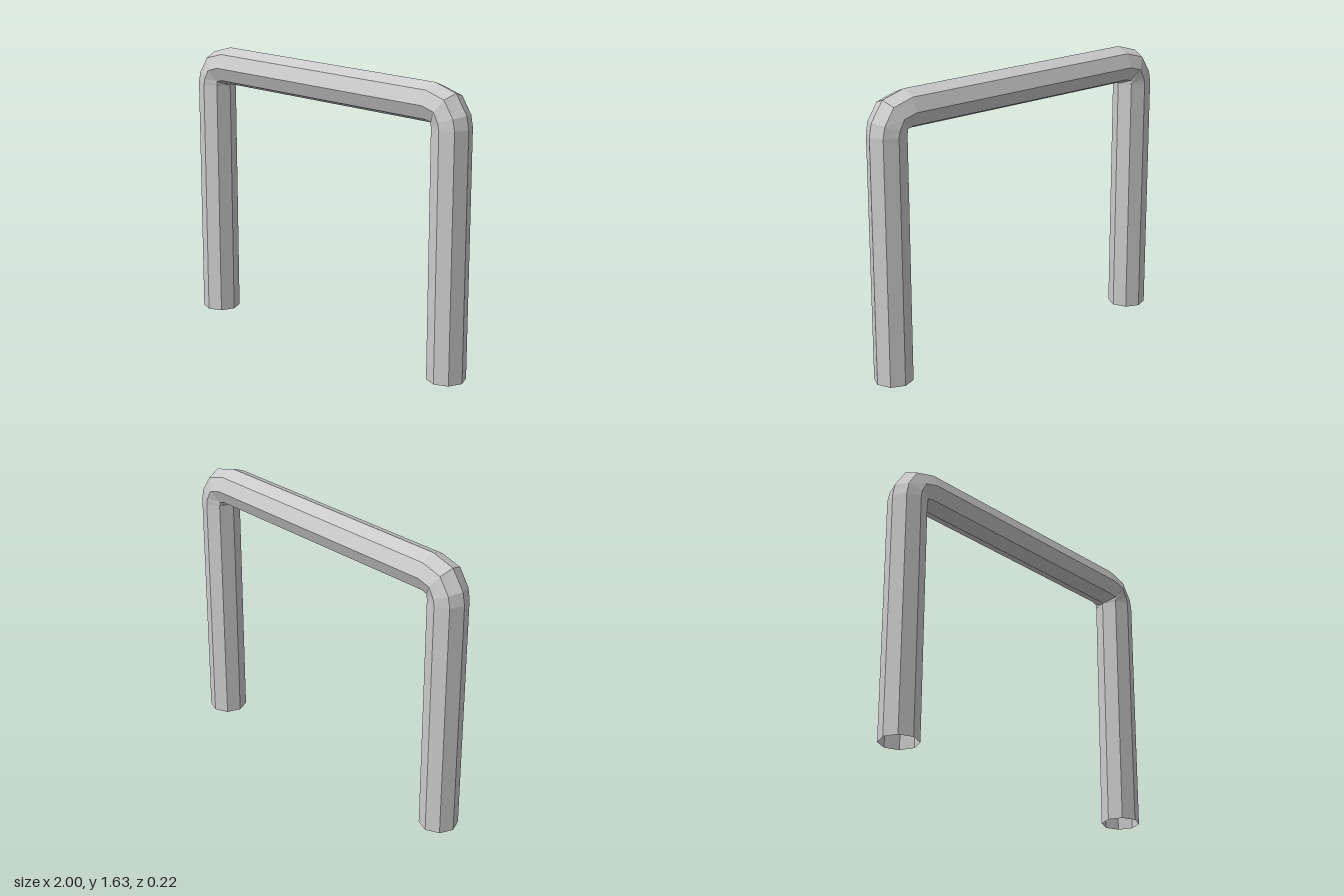
import * as THREE from 'three';

const SIDES = 8;
const RADIUS = 0.11;

// Sweeps an open octagonal tube through stations [x, y, angle of the outward direction in degrees]
function sweepTube(stations) {
  const positions = [];
  const index = [];
  stations.forEach(([x, y, degrees], i) => {
    const turn = THREE.MathUtils.degToRad(degrees);
    for (let j = 0; j < SIDES; j++) {
      const a = (j / SIDES) * Math.PI * 2;
      const out = RADIUS * Math.cos(a);
      positions.push(x + out * Math.cos(turn), y + out * Math.sin(turn), RADIUS * Math.sin(a));
      if (i === 0) continue;
      const k = (j + 1) % SIDES;
      const lower = (i - 1) * SIDES;
      const upper = i * SIDES;
      index.push(lower + j, lower + k, upper + k, lower + j, upper + k, upper + j);
    }
  });
  const geometry = new THREE.BufferGeometry();
  geometry.setAttribute('position', new THREE.Float32BufferAttribute(positions, 3));
  geometry.setIndex(index);
  geometry.computeVertexNormals();
  return geometry;
}

export function createModel() {
  const group = new THREE.Group();
  group.name = 'barrierHoop';

  // One leg and its bend up to the crossbar, then the same mirrored
  const half = [
    [-0.89, 0, 180],
    [-0.89, 1.41, 180],
    [-0.882, 1.447, 160],
    [-0.852, 1.502, 123],
    [-0.773, 1.525, 90],
  ];
  const mirrored = half.map(([x, y, angle]) => [-x, y, 180 - angle]).reverse();

  const hoop = new THREE.Mesh(
    sweepTube([...half, ...mirrored]),
    new THREE.MeshStandardMaterial({ color: 0xcccccc, flatShading: true, side: THREE.DoubleSide })
  );
  hoop.name = 'bentTube';
  group.add(hoop);
  return group;
}
